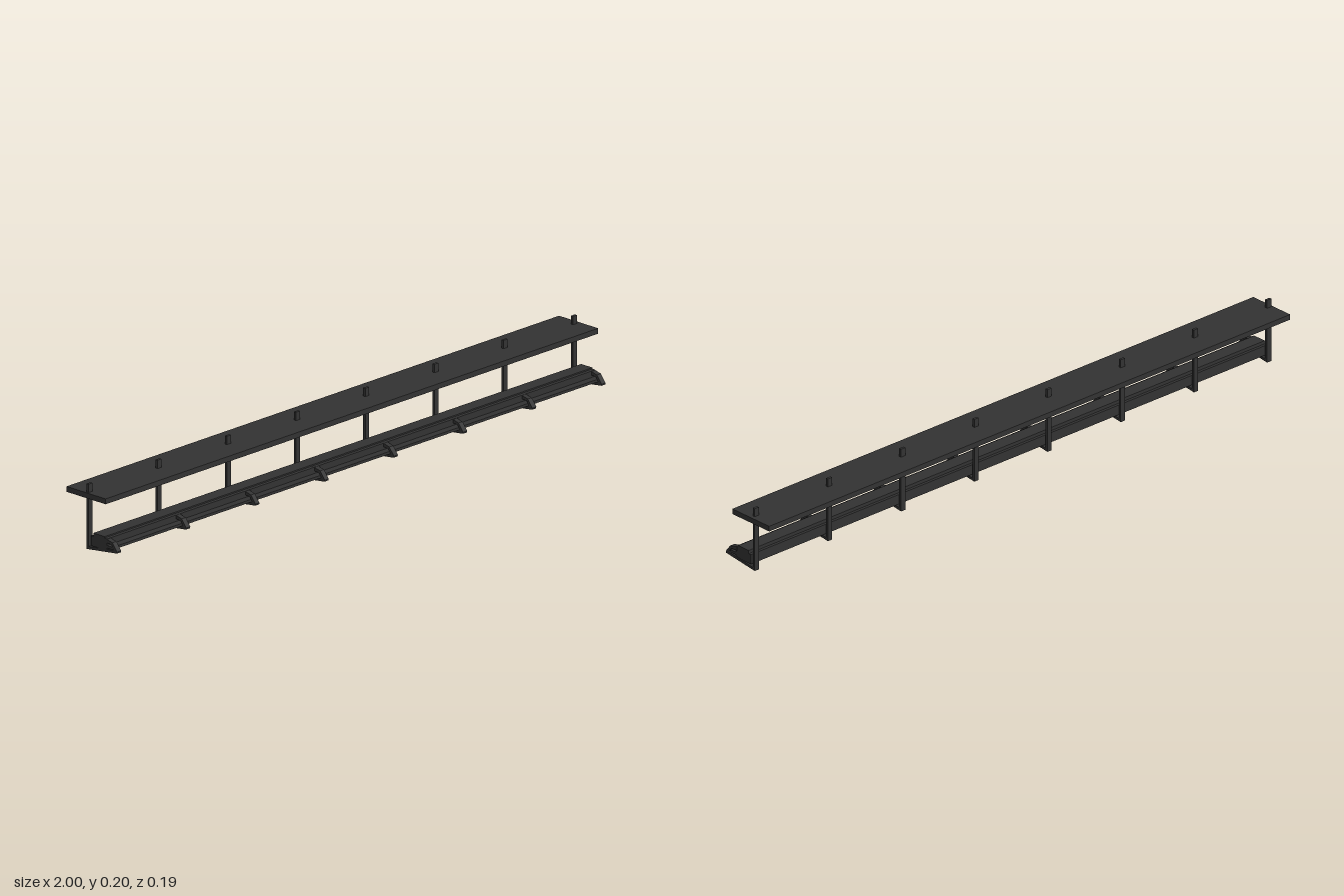
import * as THREE from 'three';

const material = new THREE.MeshStandardMaterial({ color: 0x333333, flatShading: true });

// Extrude a (z, y) outline along x, from x0 to x1
function profile(name, points, x0, x1) {
  const shape = new THREE.Shape(points.map(([z, y]) => new THREE.Vector2(z, y)));
  const geo = new THREE.ExtrudeGeometry(shape, { depth: x1 - x0, bevelEnabled: false });
  geo.rotateY(-Math.PI / 2).translate(x1, 0, 0);
  const mesh = new THREE.Mesh(geo, material);
  mesh.name = name;
  return mesh;
}

// Box given by its limits on each axis
function box(name, [x0, x1], [y0, y1], [z0, z1]) {
  const geo = new THREE.BoxGeometry(x1 - x0, y1 - y0, z1 - z0);
  geo.translate((x0 + x1) / 2, (y0 + y1) / 2, (z0 + z1) / 2);
  const mesh = new THREE.Mesh(geo, material);
  mesh.name = name;
  return mesh;
}

export function createModel() {
  const group = new THREE.Group();
  group.name = 'longShelf';

  // Upper board, pierced by the posts
  group.add(box('topBoard', [-1, 1], [0.154, 0.17], [-0.096, 0.057]));

  // Lower rail with stepped top, and the thin lip along its front
  const railX = [-0.995, 0.986];
  group.add(profile('lowerRail', [
    [-0.005, 0.014], [0.057, 0.015], [0.057, 0.049], [0.048, 0.05], [0.048, 0.054],
    [0.004, 0.054], [0.004, 0.044], [-0.005, 0.044],
  ], ...railX));
  group.add(box('frontLip', railX, [0.022, 0.03], [0.055, 0.08]));

  // Evenly spaced posts, each with a hooked bracket reaching forward
  const count = 8, half = 0.008;
  for (let i = 0; i < count; i++) {
    const x = -0.987 + i * 0.281;
    const support = new THREE.Group();
    support.name = 'support' + (i + 1);
    support.add(box('post', [x - half, x + half], [0.002, 0.195], [-0.023, -0.015]));
    support.add(profile('bracket', [
      [-0.023, 0], [0.096, 0.015], [0.097, 0.02], [0.079, 0.043], [0.05, 0.05],
      [0.05, 0.038], [0.075, 0.036], [0.083, 0.024], [0.08, 0.021], [-0.015, 0.009], [-0.023, 0.009],
    ], x - half, x + half));
    group.add(support);
  }
  return group;
}
